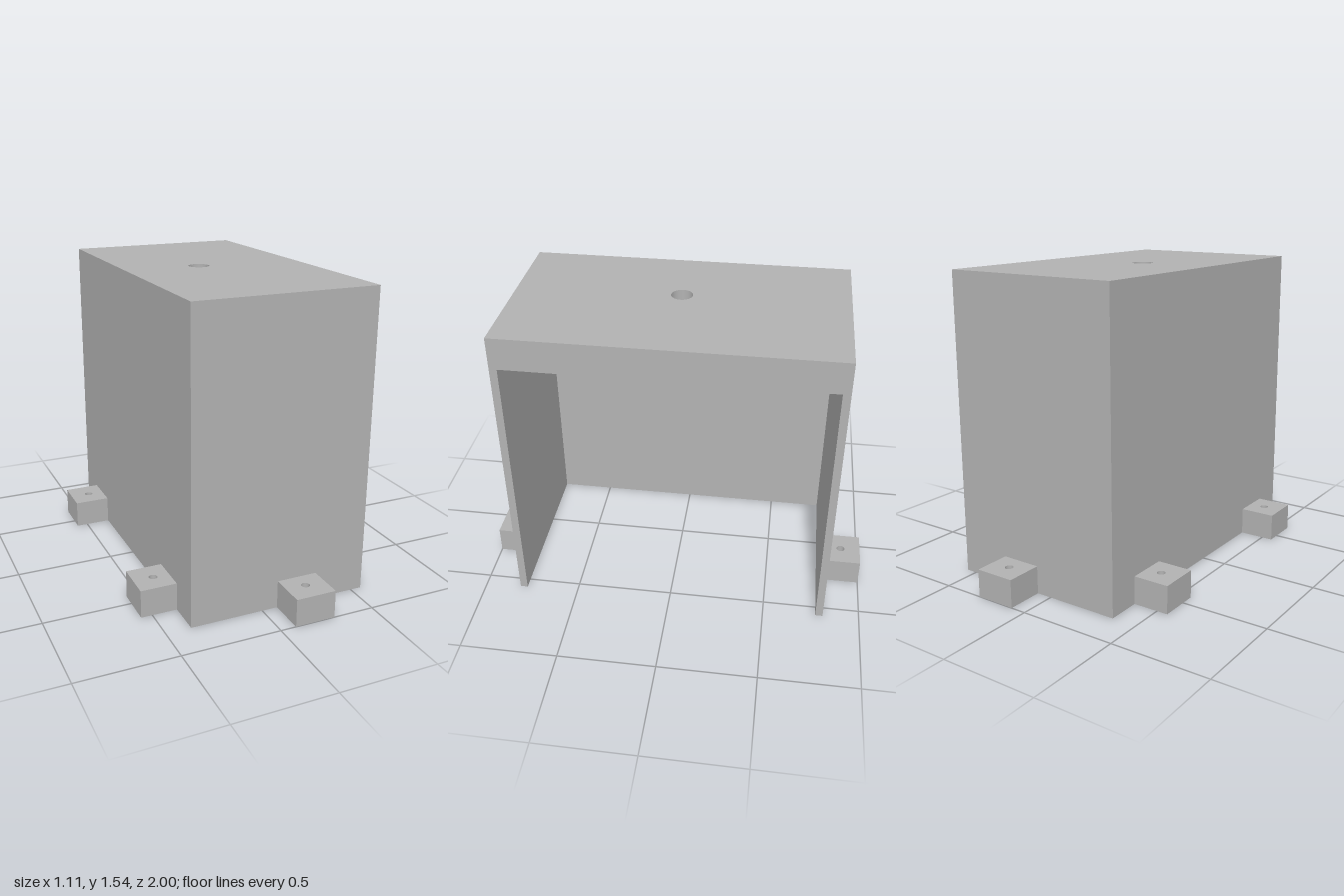
import * as THREE from 'three';

const grey = new THREE.MeshStandardMaterial({ color: 0xb2b2b2 });
grey.name = 'plain grey';

// Upright prism from a plan outline of [x, z] points, with round holes [x, z, radius]
function prism(name, outline, y0, y1, holes = []) {
  const shape = new THREE.Shape(outline.map(([x, z]) => new THREE.Vector2(x, -z)));
  for (const [x, z, r] of holes) {
    const hole = new THREE.Path();
    hole.absarc(x, -z, r, 0, Math.PI * 2, true);
    shape.holes.push(hole);
  }
  const geo = new THREE.ExtrudeGeometry(shape, { depth: y1 - y0, bevelEnabled: false, curveSegments: 32 });
  geo.rotateX(-Math.PI / 2);
  geo.translate(0, y0, 0);
  const mesh = new THREE.Mesh(geo, grey);
  mesh.name = name;
  return mesh;
}

const rect = (x0, x1, z0, z1) => [[x0, z1], [x1, z1], [x1, z0], [x0, z0]];

export function createModel() {
  const model = new THREE.Group();
  model.name = 'mountingCover';

  const left = 0.557, right = -0.373, half = 0.813, wall = 0.038;
  const ceiling = 1.38, recess = 1.42, top = 1.54;

  // Three walls in a U, open towards +x
  model.add(prism('walls', [
    [left, half], [left, half - wall], [right + wall, half - wall],
    [right + wall, -half + wall], [left, -half + wall], [left, -half],
    [right, -half], [right, half],
  ], 0, ceiling));

  // Thick roof: a through hole, and a shallow blind hole in the underside
  const plan = rect(right, left, -half, half);
  const through = [0.02, 0, 0.053];
  model.add(prism('roofUnderside', plan, ceiling, recess, [through, [0.02, 0.408, 0.053]]));
  model.add(prism('roof', plan, recess, top, [through]));

  // Drilled mounting feet on the front, back and right walls
  for (const s of [1, -1]) {
    const end = [s * half, s].sort((a, b) => a - b);
    model.add(prism(s > 0 ? 'frontFoot' : 'backFoot',
      rect(0.08, 0.288, ...end), 0, 0.142, [[0.184, s * 0.897, 0.021]]));
    model.add(prism(s > 0 ? 'sideFootFront' : 'sideFootBack',
      rect(-0.557, right, s * 0.535 - 0.104, s * 0.535 + 0.104), 0, 0.142, [[-0.455, s * 0.535, 0.021]]));
  }
  return model;
}
